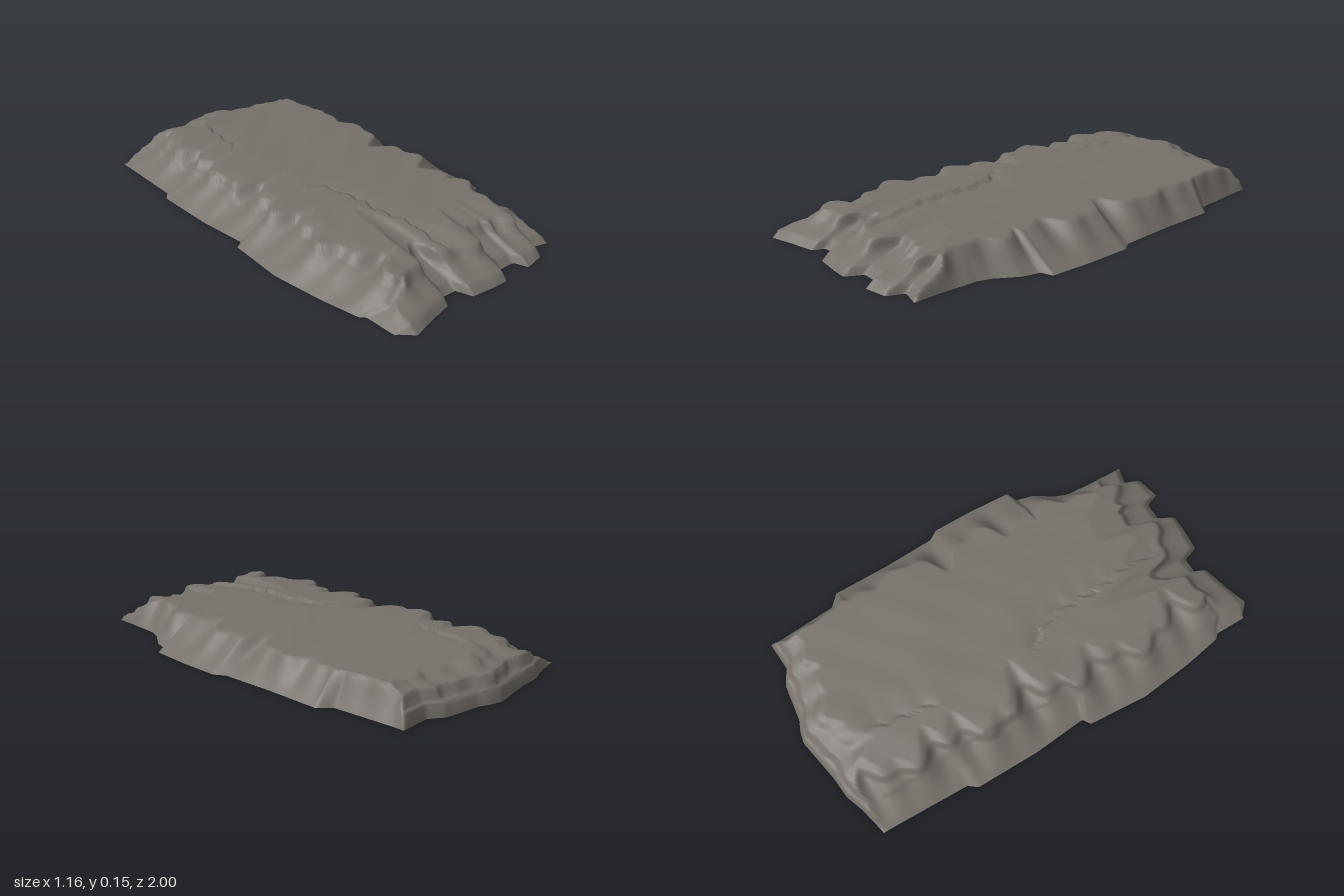
import * as THREE from 'three';

// Piecewise linear lookup through [key, value] points
function along(points, k) {
  if (k <= points[0][0]) return points[0][1];
  for (let i = 1; i < points.length; i++) {
    const [a, va] = points[i - 1], [b, vb] = points[i];
    if (k <= b) return va + (vb - va) * (k - a) / (b - a);
  }
  return points[points.length - 1][1];
}

// Ragged outline: side edges as x over z, end edges as z over x
const LEFT_X = [[-0.9, 0.47], [-0.62, 0.49], [-0.57, 0.54], [-0.3, 0.54], [-0.05, 0.55], [0, 0.58], [0.2, 0.58],
  [0.4, 0.57], [0.42, 0.52], [0.5, 0.5], [0.6, 0.44], [0.66, 0.42], [0.86, 0.41]];
const RIGHT_X = [[-0.9, -0.51], [-0.54, -0.52], [-0.5, -0.55], [-0.2, -0.55], [0.05, -0.53], [0.07, -0.565],
  [0.35, -0.585], [0.6, -0.56], [0.78, -0.53], [0.8, -0.51], [0.93, -0.51]];
const FRONT_Z = [[-0.5, 0.95], [-0.45, 1], [-0.35, 0.97], [-0.23, 0.94], [-0.21, 0.89], [-0.14, 0.89], [-0.12, 0.96],
  [0, 0.97], [0.06, 0.97], [0.1, 0.9], [0.18, 0.9], [0.2, 0.96], [0.3, 0.94], [0.33, 0.87], [0.41, 0.89]];
const BACK_Z = [[-0.5, -0.89], [-0.38, -0.92], [-0.3, -0.95], [-0.2, -0.96], [-0.1, -0.98], [0, -1], [0.05, -0.99],
  [0.1, -0.97], [0.27, -0.95], [0.33, -0.91], [0.47, -0.92]];

// Height of the top across x, and the edge slopes by distance inward
const TOP_Y = [[-0.4, 0.125], [-0.33, 0.133], [-0.15, 0.143], [0, 0.138], [0.43, 0.125]];
const RIGHT_SLOPE = [[0, 0], [0.08, 0.045], [0.13, 0.075], [0.16, 0.09], [0.18, 0.118], [0.28, 0.15]];
const LEFT_SLOPE = [[0, 0], [0.4, 0.045], [0.75, 0.09], [1, 0.122], [1.3, 0.15]];
const LEFT_WIDTH = [[-0.9, 0.04], [-0.5, 0.09], [-0.2, 0.11], [0, 0.18], [0.3, 0.18], [0.45, 0.13], [0.6, 0.07], [0.9, 0.04]];
const FRONT_SLOPE = [[0, 0], [0.03, 0.03], [0.1, 0.055], [0.14, 0.075], [0.17, 0.112], [0.35, 0.138], [0.5, 0.15]];
const BACK_SLOPE = [[0, 0], [0.012, 0.05], [0.035, 0.06], [0.05, 0.1], [0.1, 0.112], [0.13, 0.13], [0.2, 0.15]];

// Cracks: paths given as x over z
const LONG_CRACK = [[0.02, -0.21], [0.1, -0.13], [0.25, -0.09], [0.4, -0.1], [0.6, -0.07], [0.8, -0.08]];
const BACK_CRACK = [[-0.75, -0.13], [-0.6, -0.155], [-0.42, -0.18]];
const SIDE_CRACK = [[-0.85, -0.4], [-0.4, -0.385], [0.1, -0.41]];

const wobble = (x, z) =>
  Math.sin(x * 11 + z * 5) * 0.5 + Math.sin(z * 13 - x * 7 + 1) * 0.3 + Math.sin(x * 23 + z * 29) * 0.2;

// A step that drops on the +x side of a crack and fades out away from it
function crack(path, x, z, depth) {
  const from = path[0][0], to = path[path.length - 1][0];
  const d = x - along(path, z) - 0.008 * Math.sin(z * 60);
  if (z < from || z > to || d < 0) return 0;
  const fade = Math.min(1, (z - from) / 0.06, (to - z) / 0.06);
  return -depth * fade * Math.exp(-d * 14);
}

function slabGeometry(columns, rows) {
  const positions = [], indices = [];
  for (let r = 0; r <= rows; r++) {
    for (let c = 0; c <= columns; c++) {
      const u = c / columns, v = r / rows;
      const z0 = -0.95 + 1.9 * v;
      const xMin = along(RIGHT_X, z0), xMax = along(LEFT_X, z0);
      const x = xMin + (xMax - xMin) * u;
      const zMin = along(BACK_Z, x), zMax = along(FRONT_Z, x);
      const z = zMin + (zMax - zMin) * v;
      const n = wobble(x, z);
      const rough = 1 + 0.2 * Math.sin(z * 17) + 0.12 * Math.sin(z * 41 + 2);
      const roughEnd = 1 + 0.18 * Math.sin(x * 19 + 1) + 0.1 * Math.sin(x * 47);
      // The lowest slope wins, so the edges break into facets
      const y = Math.min(
        along(TOP_Y, x) + n * 0.003,
        along(RIGHT_SLOPE, (x - xMin) * rough),
        along(LEFT_SLOPE, (xMax - x) * rough / along(LEFT_WIDTH, z)),
        along(FRONT_SLOPE, (zMax - z) * roughEnd),
        along(BACK_SLOPE, (z - zMin) * roughEnd));
      const cracks = crack(LONG_CRACK, x, z, 0.015) + crack(BACK_CRACK, x, z, 0.01) - crack(SIDE_CRACK, x, z, 0.007);
      const rim = r === 0 || r === rows || c === 0 || c === columns;
      positions.push(x, rim ? 0 : Math.max(0.002, y + cracks * Math.min(1, y / 0.1)), z);
      if (r < rows && c < columns) {
        const a = r * (columns + 1) + c, b = a + columns + 1;
        indices.push(a, b, a + 1, b, b + 1, a + 1);
      }
    }
  }
  const geometry = new THREE.BufferGeometry();
  geometry.setAttribute('position', new THREE.Float32BufferAttribute(positions, 3));
  geometry.setIndex(indices);
  geometry.computeVertexNormals();
  return geometry;
}

export function createModel() {
  const group = new THREE.Group();
  group.name = 'rockSlab';
  const stone = new THREE.MeshStandardMaterial({ color: 0x76716a, side: THREE.DoubleSide });
  stone.name = 'grey stone';
  // Weathered shell, open underneath
  const slab = new THREE.Mesh(slabGeometry(110, 180), stone);
  slab.name = 'stoneSlab';
  group.add(slab);
  return group;
}
